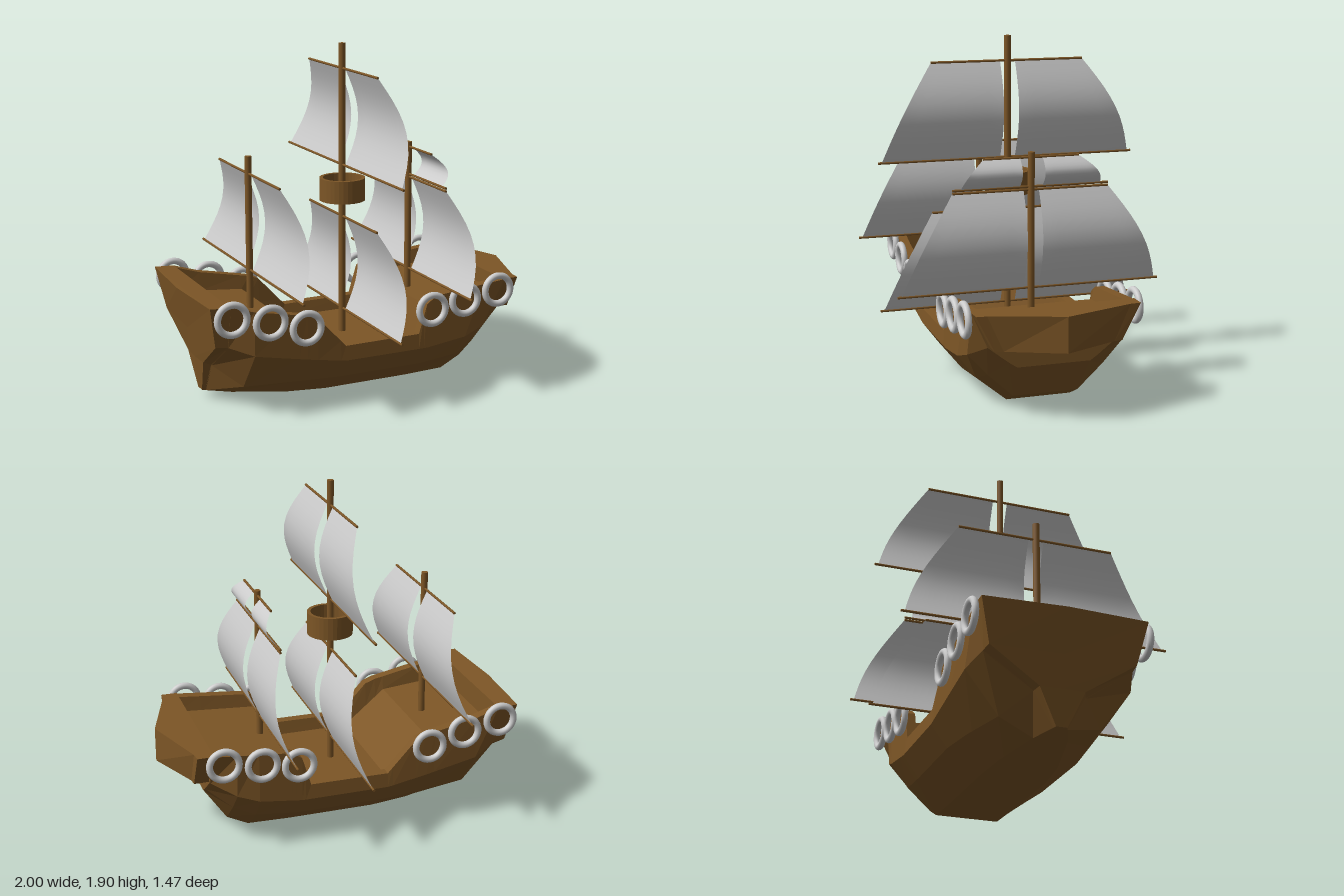
import * as THREE from 'three';

const wood = new THREE.MeshStandardMaterial({ color: 0x7d5626 });
const hullWood = new THREE.MeshStandardMaterial({ color: 0x7d5626, flatShading: true });
const cloth = new THREE.MeshStandardMaterial({ color: 0xcccccc, side: THREE.DoubleSide });
const grey = new THREE.MeshStandardMaterial({ color: 0xcccccc });

function add(parent, name, geometry, material, x = 0, y = 0, z = 0) {
  const mesh = new THREE.Mesh(geometry, material);
  mesh.name = name;
  mesh.position.set(x, y, z);
  parent.add(mesh);
}

// Straight-line interpolation between rows keyed by x
function sample(rows, x) {
  const found = rows.findIndex((r) => r[0] >= x);
  const i = found < 0 ? rows.length - 1 : Math.max(1, found);
  const [a, b] = [rows[i - 1], rows[i]];
  return a.map((v, k) => THREE.MathUtils.lerp(v, b[k], (x - a[0]) / (b[0] - a[0])));
}

// Skin over closed rings, running from stern to bow
function loft(rings) {
  const pos = [];
  for (let i = 0; i < rings.length - 1; i++) {
    rings[i].forEach((a, j) => {
      const k = (j + 1) % rings[i].length;
      const b = rings[i + 1][j], c = rings[i + 1][k], d = rings[i][k];
      pos.push(...a, ...b, ...c, ...a, ...c, ...d);
    });
  }
  const g = new THREE.BufferGeometry();
  g.setAttribute('position', new THREE.Float32BufferAttribute(pos, 3));
  g.computeVertexNormals();
  return g;
}

// Closed ring from a half section of [y, halfWidth]; lean slopes it aft with height
function ringOf(x, half, widthScale = 1, lean = 0) {
  const mirrored = half.slice(1, -1).reverse().map(([y, w]) => [y, -w]);
  return [...half, ...mirrored].map(([y, w]) =>
    [x - lean * Math.pow(Math.max(0, (y - 0.05) / 0.595), 1.3), y, w * widthScale]);
}

// Underbody: x, then height and half width of keel, bilge and chine
const underbody = [
  [-0.88, 0.05, 0.03, 0.24, 0.12, 0.41, 0.39],
  [-0.73, 0.035, 0.09, 0.125, 0.27, 0.35, 0.445],
  [-0.43, 0.012, 0.16, 0.13, 0.33, 0.29, 0.45],
  [-0.21, 0.003, 0.18, 0.13, 0.36, 0.25, 0.45],
  [0.29, 0.003, 0.18, 0.13, 0.36, 0.25, 0.45],
  [0.53, 0.01, 0.18, 0.15, 0.35, 0.28, 0.45],
  [0.65, 0.07, 0.18, 0.20, 0.32, 0.32, 0.43],
  [0.785, 0.27, 0.20, 0.30, 0.245, 0.39, 0.36],
];
// Rim height along the ship, low amidships
const rim = [[-0.88, 0.64], [-0.73, 0.592], [-0.43, 0.532], [-0.37, 0.51], [-0.205, 0.332],
  [0.24, 0.335], [0.29, 0.5], [0.35, 0.54], [0.785, 0.58]];
// Deck height: raised aft, ramp, waist, step, raised forward
const deck = [[-0.86, 0.5], [-0.48, 0.465], [-0.235, 0.26], [0.27, 0.26], [0.33, 0.465], [0.78, 0.495]];

function hullGeometry() {
  const half = (x, sunken) => {
    const [, ky, kw, by, bw, cy, cw] = sample(underbody, x);
    const y = sample(rim, x)[1];
    return [[ky, 0], [ky, kw], [by, bw], [cy, cw], [y, 0.445],
      [y, 0.39], [sunken ? sample(deck, x)[1] : y, 0.375], [sunken ? sample(deck, x)[1] : y, 0]];
  };
  const xs = [...rim.slice(1, -1), ...deck].map((r) => r[0]).concat(0.53, 0.65).sort((a, b) => a - b);
  return loft([
    ringOf(-0.88, half(-0.88, false), 0, 0.12),
    ringOf(-0.88, half(-0.88, false), 1, 0.095),
    ringOf(-0.863, half(-0.863, false)),
    ...xs.map((x) => ringOf(x, half(x, true))),
    ringOf(0.783, half(0.783, false)),
    ringOf(0.785, half(0.785, false)),
    ringOf(0.785, half(0.785, false), 0),
  ]);
}

// Overhanging pointed prow with flared sides and blunt shoulders
function prowGeometry() {
  const half = [[0.39, 0], [0.39, 0.345], [0.583, 0.445], [0.583, 0]];
  const plan = [[0.775, 0], [0.775, 1], [0.866, 1], [0.87, 0.87], [0.998, 0]];
  return loft(plan.map(([x, w]) => ringOf(x, half, w)));
}

// Half sail: billows toward the bow, widens downward with a bowed outer edge
function sailGeometry(side, s) {
  const g = new THREE.PlaneGeometry(1, 1, 6, 10);
  const p = g.attributes.position;
  for (let i = 0; i < p.count; i++) {
    const u = p.getX(i) + 0.5, t = 0.5 - p.getY(i);
    const bow = Math.sin(Math.PI * t);
    const outer = THREE.MathUtils.lerp(s.topW, s.bottomW, t) + s.bow * bow;
    p.setXYZ(i, s.billow * bow, THREE.MathUtils.lerp(s.top, s.bottom, t),
      side * THREE.MathUtils.lerp(s.inner, outer, u));
  }
  g.computeVertexNormals();
  return g;
}

function addYard(parent, y, halfLength) {
  const g = new THREE.CylinderGeometry(0.007, 0.007, halfLength * 2, 8);
  add(parent, 'yard', g.rotateX(Math.PI / 2), wood, 0, y, 0);
}

function addSail(parent, x, s) {
  const group = new THREE.Group();
  group.name = 'sail';
  group.position.x = x;
  for (const side of [1, -1]) add(group, 'sailHalf', sailGeometry(side, s), cloth);
  addYard(group, s.top, s.topYard);
  addYard(group, s.bottom, s.bottomYard);
  parent.add(group);
}

const bigSail = (top) => ({ top, bottom: top - 0.537, inner: 0.043, topW: 0.435,
  bottomW: 0.715, bow: 0.035, billow: 0.078, topYard: 0.435, bottomYard: 0.735 });
const smallSail = { top: 1.294, bottom: 1.136, inner: 0.063, topW: 0.265,
  bottomW: 0.39, bow: 0.03, billow: 0.052, topYard: 0.267, bottomYard: 0.435 };

export function createModel() {
  const ship = new THREE.Group();
  ship.name = 'sailingShip';
  add(ship, 'hull', hullGeometry(), hullWood);
  add(ship, 'prow', prowGeometry(), hullWood);

  // Masts with their sails
  const masts = [
    { name: 'rearMast', x: -0.577, base: 0.45, top: 1.322, sails: [bigSail(1.227)] },
    { name: 'mainMast', x: -0.017, base: 0.25, top: 1.902, sails: [bigSail(1.764), bigSail(0.934)] },
    { name: 'foreMast', x: 0.401, base: 0.42, top: 1.322, sails: [bigSail(1.12), smallSail] },
  ];
  for (const m of masts) {
    const h = m.top - m.base;
    add(ship, m.name, new THREE.CylinderGeometry(0.019, 0.019, h, 12), wood, m.x, m.base + h / 2, 0);
    for (const s of m.sails) addSail(ship, m.x, s);
  }

  // Lookout basket: open tub with a floor
  const tub = [[0, 0], [0.128, 0], [0.128, 0.127], [0.108, 0.127], [0.108, 0.02], [0, 0.02]];
  const tubGeometry = new THREE.LatheGeometry(tub.map(([r, y]) => new THREE.Vector2(r, y)), 32);
  add(ship, 'lookoutBasket', tubGeometry, hullWood, -0.015, 1.027, 0);

  // Ring fenders along both sides
  const fenders = [[-0.862, 0.574], [-0.649, 0.53], [-0.442, 0.472],
    [0.311, 0.472], [0.516, 0.502], [0.726, 0.532]];
  const ring = new THREE.TorusGeometry(0.081, 0.019, 12, 32);
  for (const side of [1, -1])
    for (const [x, y] of fenders) add(ship, 'ringFender', ring, grey, x, y, side * 0.466);

  return ship;
}
